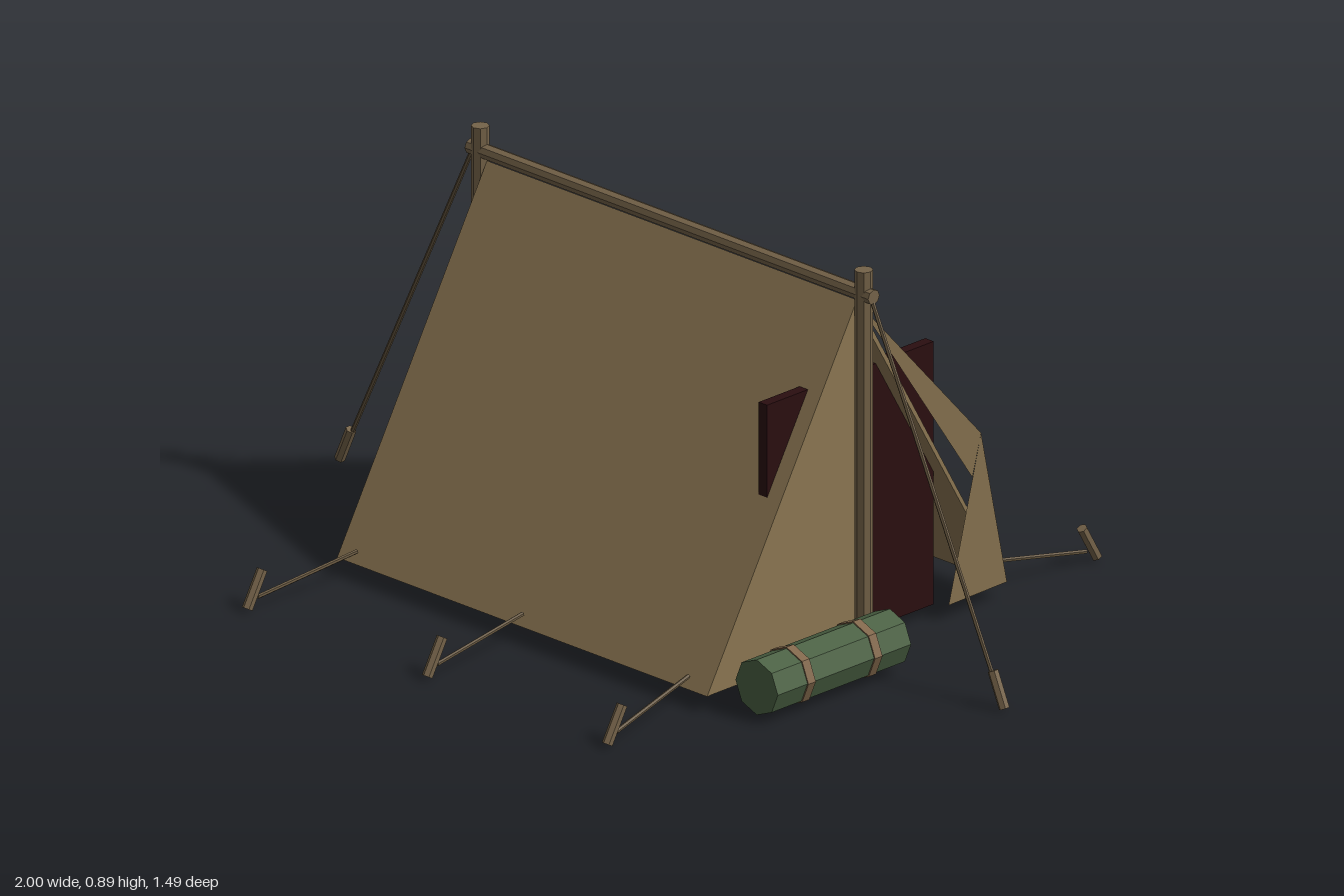
import * as THREE from 'three';

const mat = (name, color, extra = {}) => {
  const m = new THREE.MeshStandardMaterial({ color, ...extra });
  m.name = name;
  return m;
};

export function createModel() {
  const group = new THREE.Group();
  const canvas = mat('canvas', 0x8b7652, { side: THREE.DoubleSide, flatShading: true });
  const wood = mat('wood', 0x756349, { flatShading: true });
  const rope = mat('rope', 0x685840, { flatShading: true });
  const dark = mat('dark opening', 0x2a0e10);
  const green = mat('bedroll green', 0x4a6042, { flatShading: true });
  const strap = mat('strap', 0x80664a, { flatShading: true });

  const add = (name, geo, material) => {
    const mesh = new THREE.Mesh(geo, material);
    mesh.name = name;
    group.add(mesh);
    return mesh;
  };

  // Straight round bar between two points
  const bar = (name, a, b, radius, sides, material) => {
    const p = new THREE.Vector3(...a), q = new THREE.Vector3(...b);
    const d = q.clone().sub(p);
    const mesh = add(name, new THREE.CylinderGeometry(radius, radius, d.length(), sides), material);
    mesh.position.copy(p).add(q).multiplyScalar(0.5);
    mesh.quaternion.setFromUnitVectors(new THREE.Vector3(0, 1, 0), d.normalize());
    return mesh;
  };

  // Flat cloth from a list of triangles
  const cloth = (name, ...points) => {
    const geo = new THREE.BufferGeometry();
    geo.setAttribute('position', new THREE.Float32BufferAttribute(points.flat(), 3));
    geo.computeVertexNormals();
    return add(name, geo, canvas);
  };

  // Sloping roof: a thin chevron drawn along x, open underneath
  const chevron = new THREE.Shape([
    [-0.45, 0.04], [-0.44, 0.04], [0, 0.795], [0.44, 0.04], [0.45, 0.04], [0, 0.815],
  ].map(([x, y]) => new THREE.Vector2(x, y)));
  const roof = new THREE.ExtrudeGeometry(chevron, { depth: 1.1, bevelEnabled: false });
  roof.translate(0, 0, -0.55).rotateY(Math.PI / 2);
  add('roof', roof, canvas);

  // Closed end and the closed half of the entrance
  cloth('endPanel', [-0.549, 0.04, -0.449], [-0.549, 0.04, 0.449], [-0.549, 0.813, 0]);
  cloth('doorPanel', [0.549, 0.04, 0.449], [0.549, 0.04, 0], [0.549, 0.813, 0]);

  // Folded back door flap
  const top = [0.552, 0.81, 0], fold = [0.597, 0.43, -0.325], mid = [0.587, 0.33, -0.309];
  const inner = [0.555, 0.04, -0.27], corner = [0.55, 0.04, -0.45];
  cloth('doorFlap', top, mid, fold, fold, inner, corner);

  // Dark slab inside the entrance
  add('darkInterior', new THREE.BoxGeometry(0.025, 0.6, 0.5), dark).position.set(0.498, 0.33, -0.02);

  // Frame
  for (const s of [-1, 1]) bar('uprightPole', [s * 0.57, 0.01, 0], [s * 0.57, 0.89, 0], 0.02, 8, wood);
  bar('ridgePole', [-0.6, 0.835, 0], [0.6, 0.835, 0], 0.017, 8, wood);

  // End guy lines and pegs
  for (const s of [-1, 1]) {
    bar('endRope', [s * 0.59, 0.835, 0], [s * 0.965, 0.05, 0], 0.005, 6, rope);
    bar('endPeg', [s * 0.988, 0.008, 0], [s * 0.954, 0.085, 0], 0.012, 6, wood);
    // Side guy lines and pegs
    for (const i of [-1, 0, 1]) {
      bar('sideRope', [i * 0.493, 0.07, s * 0.448], [i * 0.533, 0.03, s * 0.705], 0.005, 6, rope);
      bar('sidePeg', [i * 0.535, 0.01, s * 0.735], [i * 0.535, 0.088, s * 0.69], 0.012, 6, wood);
    }
  }

  // Bedroll with two straps
  const roll = (name, z0, z1, r, m) => bar(name, [0.648, 0.075, z0], [0.648, 0.075, z1], r, 8, m);
  roll('bedroll', 0, 0.4, 0.063, green);
  for (const z of [0.1, 0.3]) roll('bedrollStrap', z - 0.011, z + 0.011, 0.066, strap);

  return group;
}
